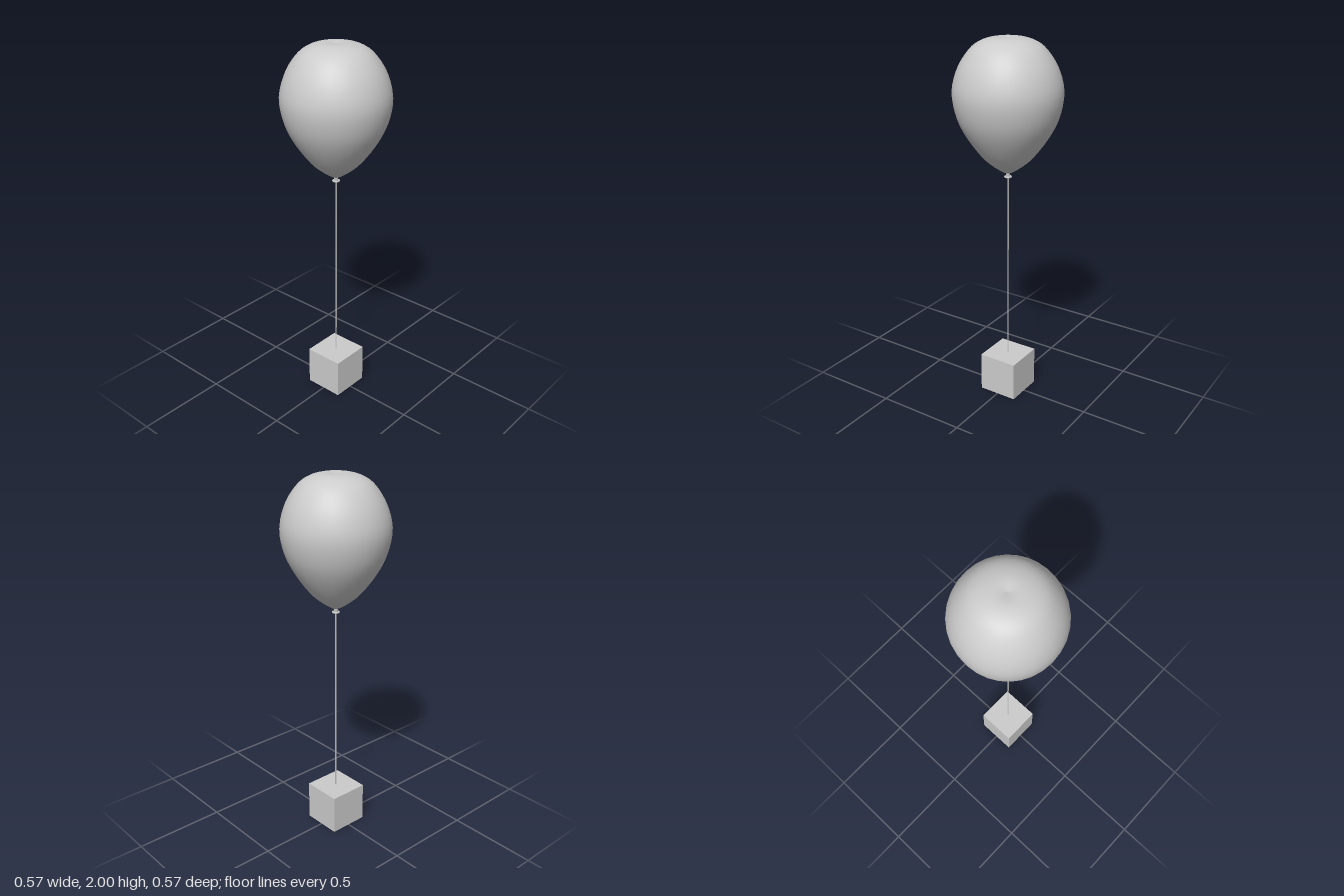
import * as THREE from 'three';

export function createModel() {
  const group = new THREE.Group();
  const material = new THREE.MeshStandardMaterial({ color: 0xcccccc, side: THREE.DoubleSide });

  const add = (name, geometry, y) => {
    const mesh = new THREE.Mesh(geometry, material);
    mesh.name = name;
    mesh.position.y = y;
    group.add(mesh);
  };

  // Balloon: smooth teardrop with a slightly dimpled crown
  const profile = new THREE.SplineCurve([
    [0.012, 1.297], [0.03, 1.304], [0.08, 1.338], [0.14, 1.393], [0.217, 1.5],
    [0.266, 1.605], [0.285, 1.725], [0.257, 1.84], [0.2, 1.932], [0.14, 1.978],
    [0.065, 1.998], [0, 1.992],
  ].map(([r, y]) => new THREE.Vector2(r, y)));
  const outline = profile.getPoints(40);
  outline[outline.length - 1].x = 0;
  add('balloon', new THREE.LatheGeometry(outline, 32), 0);

  // Tied neck and the rolled lip below it
  add('neck', new THREE.CylinderGeometry(0.012, 0.01, 0.03, 16), 1.286);
  const lip = new THREE.TorusGeometry(0.016, 0.005, 8, 20);
  lip.rotateX(Math.PI / 2);
  add('lip', lip, 1.275);

  // String from the knot down into the weight
  const bottom = 0.21, top = 1.28;
  add('string', new THREE.CylinderGeometry(0.004, 0.004, top - bottom, 8), (top + bottom) / 2);

  // Cube weight on the ground
  add('weight', new THREE.BoxGeometry(0.22, 0.22, 0.22), 0.11);

  return group;
}
